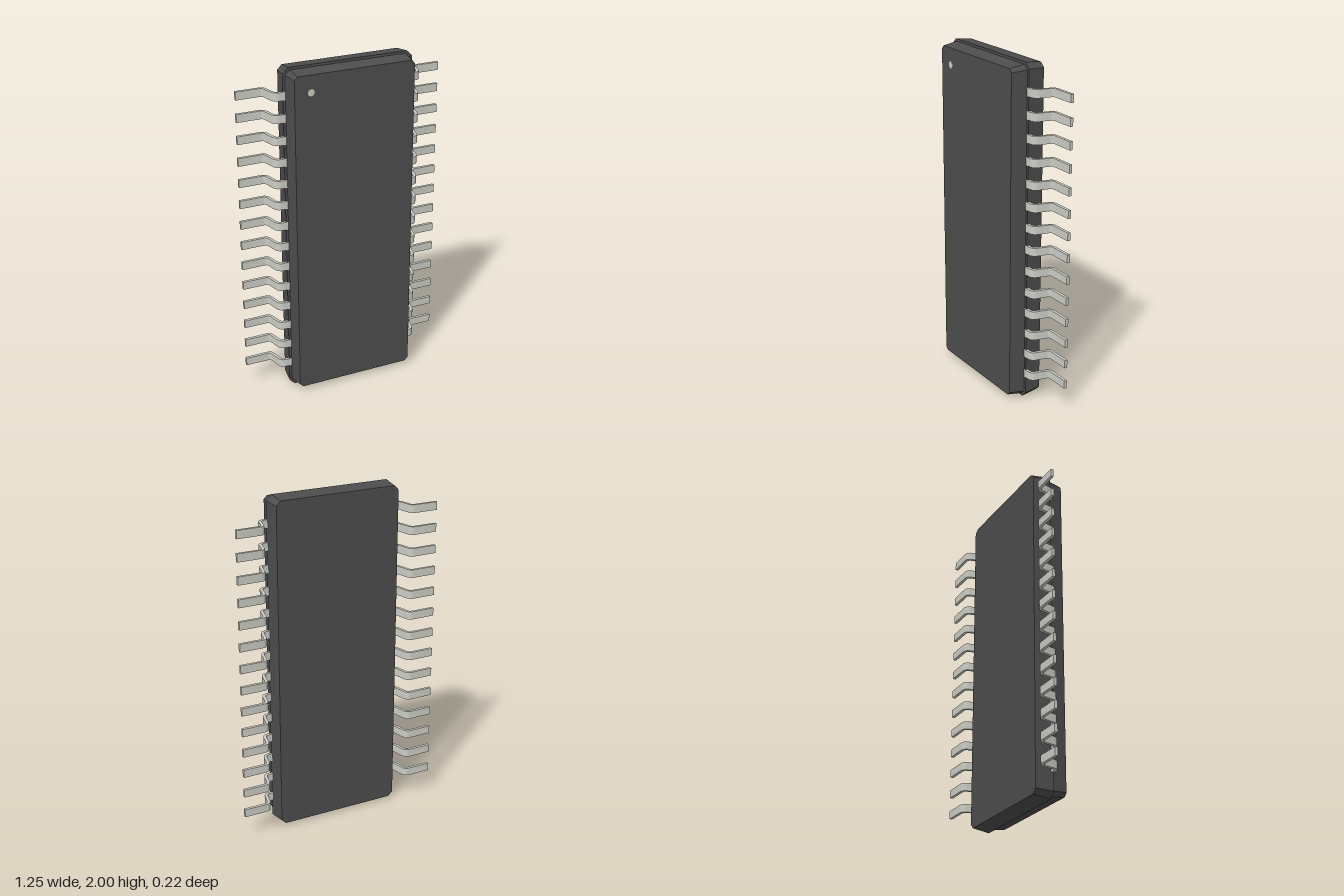
import * as THREE from 'three';
import { ConvexGeometry } from 'three/addons/geometries/ConvexGeometry.js';
import { toCreasedNormals } from 'three/addons/utils/BufferGeometryUtils.js';

const bodyMat = new THREE.MeshStandardMaterial({ color: 0x4d4d4d });
const pinMat = new THREE.MeshStandardMaterial({ color: 0xcdcdc6 });
const dotMat = new THREE.MeshStandardMaterial({ color: 0xcdcdc0 });

// Rectangle with cut corners, half sizes w x h, at depth z
function ring(w, h, cut, z) {
  const points = [];
  for (const sx of [-1, 1]) for (const sy of [-1, 1]) {
    points.push(new THREE.Vector3(sx * w, sy * (h - cut), z));
    points.push(new THREE.Vector3(sx * (w - cut), sy * h, z));
  }
  return points;
}

// Gull-wing pin: a bent strip in the x-z plane, extruded along y
function pinGeometry(side, width, thickness) {
  const v = (x, z) => new THREE.Vector2(x, -z);
  const path = new THREE.CurvePath();
  const bends = [
    [v(0.412, 0.008), v(0.441, 0.008), v(0.446, -0.021)],
    [v(0.459, -0.078), v(0.463, -0.103), v(0.488, -0.103)],
  ];
  const center = [v(0.37, 0.008)];
  for (const bend of bends) center.push(...new THREE.QuadraticBezierCurve(...bend).getPoints(8));
  center.push(v(0.625, -0.103));

  const upper = [], lower = [];
  center.forEach((p, i) => {
    const a = center[Math.max(i - 1, 0)], b = center[Math.min(i + 1, center.length - 1)];
    const t = b.clone().sub(a).normalize();
    // the straight ends of the strip stay square
    if (i <= 1 || i >= center.length - 2) t.set(1, 0);
    const n = new THREE.Vector2(-t.y, t.x).multiplyScalar(thickness / 2);
    upper.push(p.clone().add(n));
    lower.unshift(p.clone().sub(n));
  });
  const outline = [...upper, ...lower].map(p => new THREE.Vector2(side * p.x, p.y));
  const geo = new THREE.ExtrudeGeometry(new THREE.Shape(outline), { depth: width, bevelEnabled: false });
  geo.translate(0, 0, -width / 2);
  geo.rotateX(-Math.PI / 2);
  return toCreasedNormals(geo, 0.6);
}

export function createModel() {
  const model = new THREE.Group();
  model.name = 'chip';
  const add = (name, geo, mat, x, y, z, parent = model) => {
    const mesh = new THREE.Mesh(geo, mat);
    mesh.name = name;
    mesh.position.set(x, y, z);
    parent.add(mesh);
    return mesh;
  };

  // Two tapered housing halves meeting at the parting line
  const seam = 0.015;
  add('backHousing', new ConvexGeometry([
    ...ring(0.393, 1, 0.033, seam), ...ring(0.38, 0.987, 0.027, -0.09)]), bodyMat, 0, 1, 0);
  add('frontHousing', new ConvexGeometry([
    ...ring(0.378, 0.985, 0.026, seam), ...ring(0.363, 0.972, 0.02, 0.107)]), bodyMat, 0, 1, 0);

  // Orientation dot in the upper corner of the front face
  const dot = add('orientationDot', new THREE.CylinderGeometry(0.02, 0.02, 0.004, 32), dotMat, -0.266, 1.873, 0.106);
  dot.rotation.x = Math.PI / 2;

  // Fourteen pins along each long side
  const count = 14, first = 0.161, pitch = 0.1293;
  for (const side of [1, -1]) {
    const row = new THREE.Group();
    row.name = side > 0 ? 'leftPins' : 'rightPins';
    const geo = pinGeometry(side, 0.048, 0.018);
    for (let i = 0; i < count; i++) add('pin', geo, pinMat, 0, first + i * pitch, 0, row);
    model.add(row);
  }
  return model;
}
